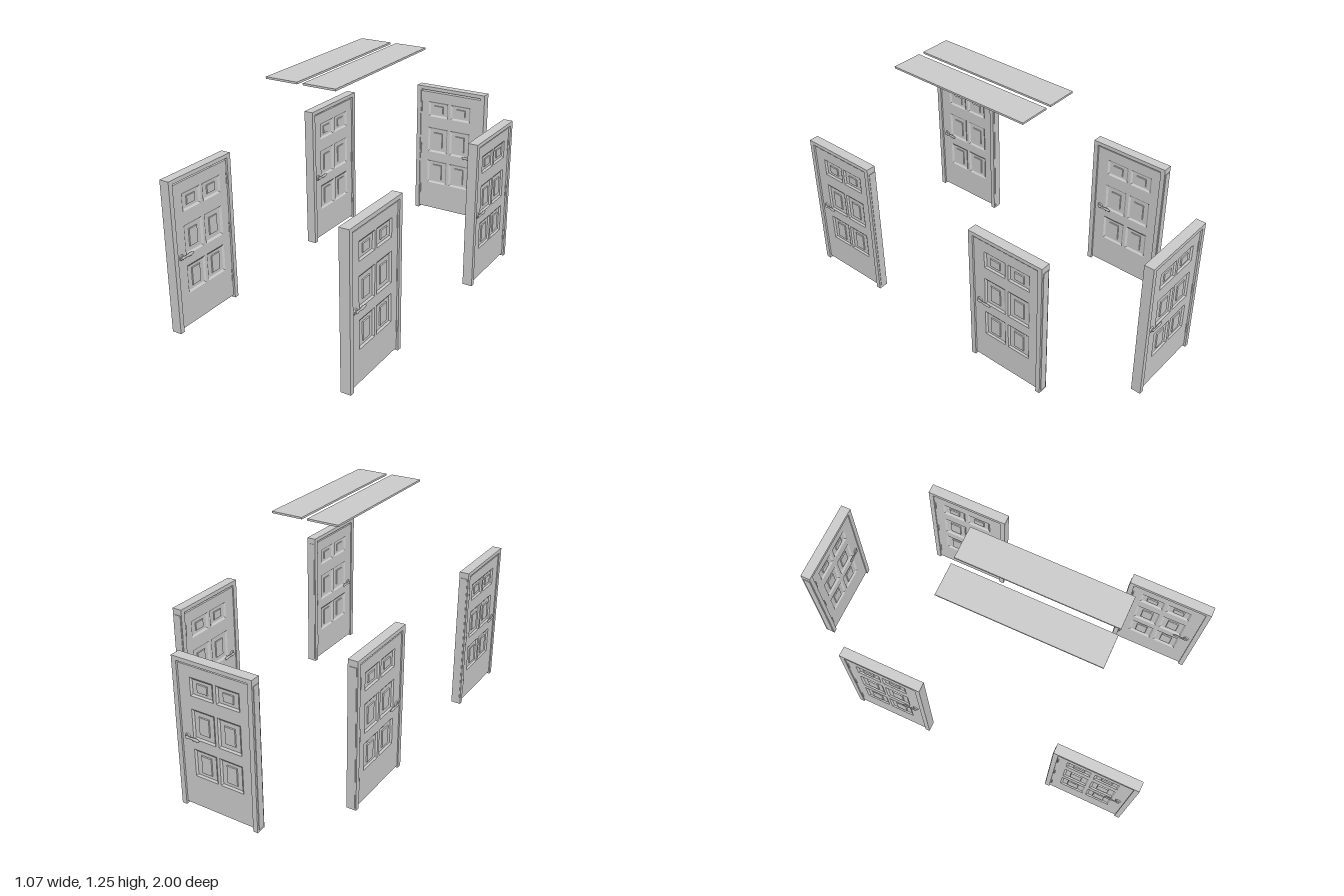
import * as THREE from 'three';

const mat = new THREE.MeshStandardMaterial({ color: 0xcccccc, flatShading: true });
const smooth = new THREE.MeshStandardMaterial({ color: 0xcccccc });

function add(parent, name, geometry, material = mat) {
  const mesh = new THREE.Mesh(geometry, material);
  mesh.name = name;
  parent.add(mesh);
  return mesh;
}

// Box given by its limits on each axis
function box(parent, name, x0, x1, y0, y1, z0, z1) {
  const mesh = add(parent, name, new THREE.BoxGeometry(x1 - x0, y1 - y0, z1 - z0));
  mesh.position.set((x0 + x1) / 2, (y0 + y1) / 2, (z0 + z1) / 2);
  return mesh;
}

// Sunk panel with a raised field: nested rectangles joined by strips, facing +z
function panelGeometry(w, h, fieldW, fieldH) {
  const rings = [
    [w, h, 0],
    [w - 0.02, h - 0.02, -0.007],
    [fieldW, fieldH, -0.007],
    [fieldW - 0.004, fieldH - 0.004, -0.002],
  ];
  const corners = [[-1, -1], [1, -1], [1, 1], [-1, 1]];
  const pos = [], index = [];
  for (const [rw, rh, z] of rings)
    for (const [sx, sy] of corners) pos.push(sx * rw / 2, sy * rh / 2, z);
  for (let r = 0; r < rings.length - 1; r++)
    for (let i = 0; i < 4; i++) {
      const a = r * 4 + i, b = r * 4 + (i + 1) % 4;
      index.push(a, b, b + 4, a, b + 4, a + 4);
    }
  const c = (rings.length - 1) * 4;
  index.push(c, c + 1, c + 2, c, c + 2, c + 3);
  const g = new THREE.BufferGeometry();
  g.setAttribute('position', new THREE.Float32BufferAttribute(pos, 3));
  g.setIndex(index);
  const flat = g.toNonIndexed();
  flat.computeVertexNormals();
  return flat;
}

function rectPath(PathType, x0, x1, y0, y1) {
  const p = new PathType();
  p.moveTo(x0, y0);
  p.lineTo(x1, y0);
  p.lineTo(x1, y1);
  p.lineTo(x0, y1);
  p.closePath();
  return p;
}

const SLAB_BACK = -0.0165, SLAB_FRONT = 0.0205;

// Round rose, neck and tapering lever, pointing to -x and facing +z
function createHandle() {
  const g = new THREE.Group();
  g.name = 'handle';
  const rose = add(g, 'rose', new THREE.CylinderGeometry(0.013, 0.016, 0.005, 24), smooth);
  rose.rotation.x = Math.PI / 2;
  rose.position.z = 0.0025;
  const neck = add(g, 'neck', new THREE.CylinderGeometry(0.007, 0.007, 0.009, 16), smooth);
  neck.rotation.x = Math.PI / 2;
  neck.position.z = 0.007;
  const profile = [[0, -0.009], [0.006, -0.006], [0.009, 0], [0.007, 0.01], [0.006, 0.022],
    [0.008, 0.038], [0.0095, 0.05], [0.009, 0.06], [0.006, 0.07], [0, 0.077]];
  const lever = add(g, 'lever',
    new THREE.LatheGeometry(profile.map(([r, y]) => new THREE.Vector2(r, y)), 16), smooth);
  lever.rotation.z = Math.PI / 2;
  lever.scale.z = 0.5;
  lever.position.z = 0.0105;
  return g;
}

// Framed six-panel door, latch towards +x
function createDoor(name) {
  const door = new THREE.Group();
  door.name = name;

  // Frame
  box(door, 'hingeJamb', -0.232, -0.207, 0, 0.804, -0.0265, 0.0265);
  box(door, 'latchJamb', 0.187, 0.213, 0, 0.804, -0.0265, 0.0265);
  box(door, 'header', -0.207, 0.187, 0.783, 0.804, -0.0265, 0.0265);

  // Slab with a hole for every panel
  const slab = rectPath(THREE.Shape, -0.235, 0.189, 0.013, 0.771);
  const columns = [-0.0895, 0.0575];
  const rows = [
    { y0: 0.616, y1: 0.712, f0: 0.639, f1: 0.685 },
    { y0: 0.387, y1: 0.547, f0: 0.425, f1: 0.52 },
    { y0: 0.182, y1: 0.331, f0: 0.209, f1: 0.306 },
  ];
  const w = 0.13;
  for (const x of columns)
    for (const { y0, y1, f0, f1 } of rows) {
      slab.holes.push(rectPath(THREE.Path, x - w / 2, x + w / 2, y0, y1));
      const geometry = panelGeometry(w, y1 - y0, 0.06, f1 - f0);
      const front = add(door, 'frontPanel', geometry);
      front.position.set(x, (y0 + y1) / 2, SLAB_FRONT);
      const back = add(door, 'backPanel', geometry);
      back.position.set(x, (y0 + y1) / 2, SLAB_BACK);
      back.rotation.y = Math.PI;
    }
  const slabMesh = add(door, 'slab',
    new THREE.ExtrudeGeometry(slab, { depth: SLAB_FRONT - SLAB_BACK, bevelEnabled: false }));
  slabMesh.position.z = SLAB_BACK;

  // Hinges
  for (const y of [0.133, 0.403, 0.673]) {
    box(door, 'hingeLeaf', -0.208, -0.202, y - 0.032, y + 0.032, -0.019, 0.023);
    const pin = add(door, 'hingePin', new THREE.CylinderGeometry(0.004, 0.004, 0.066, 12), smooth);
    pin.position.set(-0.202, y, 0.0225);
  }

  // Handles on both faces, levers pointing to the hinges
  const front = createHandle();
  front.position.set(0.156, 0.391, SLAB_FRONT);
  const back = createHandle();
  back.position.set(0.156, 0.391, SLAB_BACK);
  back.rotation.x = Math.PI;
  door.add(front, back);
  return door;
}

export function createModel() {
  const model = new THREE.Group();
  model.name = 'doorSet';

  // Rear door and four side doors
  const placements = [
    ['rearDoor', 0, -0.97, 0],
    ['rightFrontDoor', -0.5035, 0.785, -Math.PI / 2],
    ['rightRearDoor', -0.5035, -0.381, -Math.PI / 2],
    ['leftFrontDoor', 0.4735, 0.785, -Math.PI / 2],
    ['leftRearDoor', 0.5035, -0.381, -Math.PI / 2],
  ];
  for (const [name, x, z, turn] of placements) {
    const door = createDoor(name);
    door.position.set(x, 0, z);
    door.rotation.y = turn;
    model.add(door);
  }

  // Two long ceiling panels, each with a shallow rim underneath
  const z0 = -0.222, z1 = 0.618, rim = 0.006;
  for (const [x0, x1] of [[-0.185, -0.012], [0.02, 0.194]]) {
    const panel = new THREE.Group();
    panel.name = 'ceilingPanel';
    box(panel, 'plate', x0, x1, 1.246, 1.252, z0, z1);
    const ring = rectPath(THREE.Shape, x0, x1, z0, z1);
    ring.holes.push(rectPath(THREE.Path, x0 + rim, x1 - rim, z0 + rim, z1 - rim));
    const lip = add(panel, 'rim', new THREE.ExtrudeGeometry(ring, { depth: 0.004, bevelEnabled: false }));
    lip.rotation.x = Math.PI / 2;
    lip.position.y = 1.246;
    model.add(panel);
  }
  return model;
}
